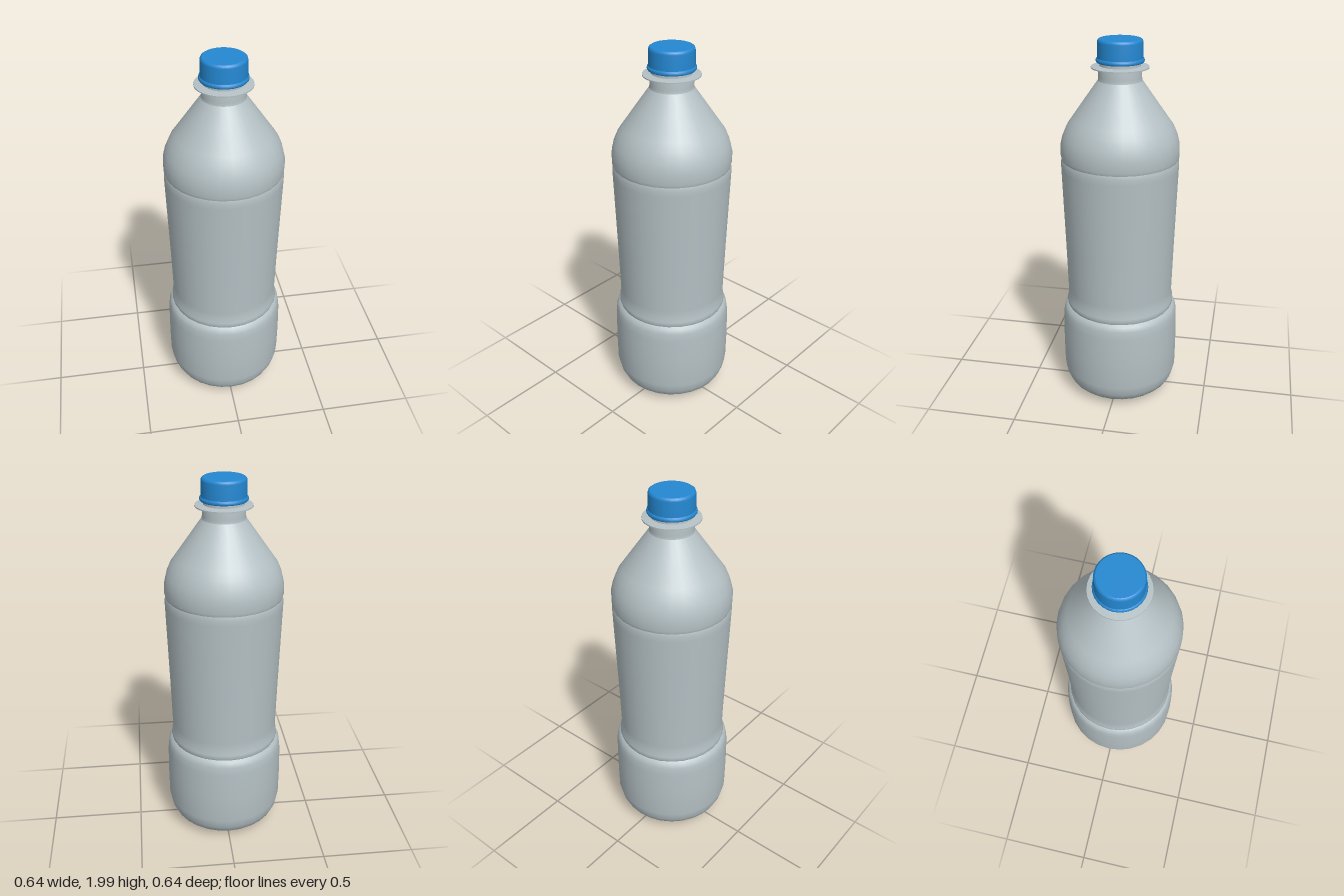
import * as THREE from 'three';

const SIDES = 28;
const plastic = new THREE.MeshStandardMaterial({ color: 0xb5c1c5, side: THREE.DoubleSide });
plastic.name = 'pale grey plastic';
const blue = new THREE.MeshStandardMaterial({ color: 0x2488d2 });
blue.name = 'blue cap plastic';

// Revolves a [radius, height] profile, listed from bottom to top.
// A repeated point makes a hard edge.
function turned(name, profile, material) {
  const points = profile.map(([r, y]) => new THREE.Vector2(r, y));
  const mesh = new THREE.Mesh(new THREE.LatheGeometry(points, SIDES), material);
  mesh.name = name;
  return mesh;
}

export function createModel() {
  const bottle = new THREE.Group();
  bottle.name = 'bottle';

  // Shallow convex underside
  bottle.add(turned('base', [[0, 0.006], [0.12, 0.012], [0.21, 0.025], [0.27, 0.043]], plastic));

  // Wide lower section with rounded ends
  bottle.add(turned('lowerBody', [
    [0.27, 0.043], [0.29, 0.062], [0.307, 0.095], [0.32, 0.15], [0.322, 0.3],
    [0.32, 0.46], [0.315, 0.505], [0.307, 0.53], [0.292, 0.541],
  ], plastic));

  // Waist groove and tapered grip
  bottle.add(turned('grip', [
    [0.292, 0.541], [0.297, 0.555], [0.296, 0.572], [0.289, 0.6], [0.289, 0.64],
    [0.296, 0.9], [0.304, 1.15], [0.31, 1.34], [0.311, 1.37], [0.306, 1.388],
  ], plastic));

  // Rounded shoulder and cone
  bottle.add(turned('shoulder', [
    [0.306, 1.388], [0.311, 1.405], [0.311, 1.46], [0.299, 1.51], [0.277, 1.562],
    [0.25, 1.6], [0.25, 1.6], [0.18, 1.7], [0.113, 1.795],
  ], plastic));

  // Neck, running up inside the cap
  bottle.add(turned('neck', [[0.113, 1.795], [0.11, 1.81], [0.11, 1.85], [0.104, 1.87], [0.104, 1.95]], plastic));

  // Thin support flange
  bottle.add(turned('neckFlange', [
    [0.105, 1.855], [0.147, 1.858], [0.147, 1.858], [0.147, 1.864], [0.147, 1.864], [0.104, 1.869],
  ], plastic));

  // Cap with a tamper ring at its foot
  bottle.add(turned('cap', [
    [0, 1.886], [0.119, 1.886], [0.119, 1.886], [0.123, 1.892], [0.122, 1.902], [0.116, 1.907],
    [0.116, 1.907], [0.115, 1.985], [0.112, 1.995], [0.105, 2], [0.105, 2], [0, 2],
  ], blue));

  return bottle;
}
